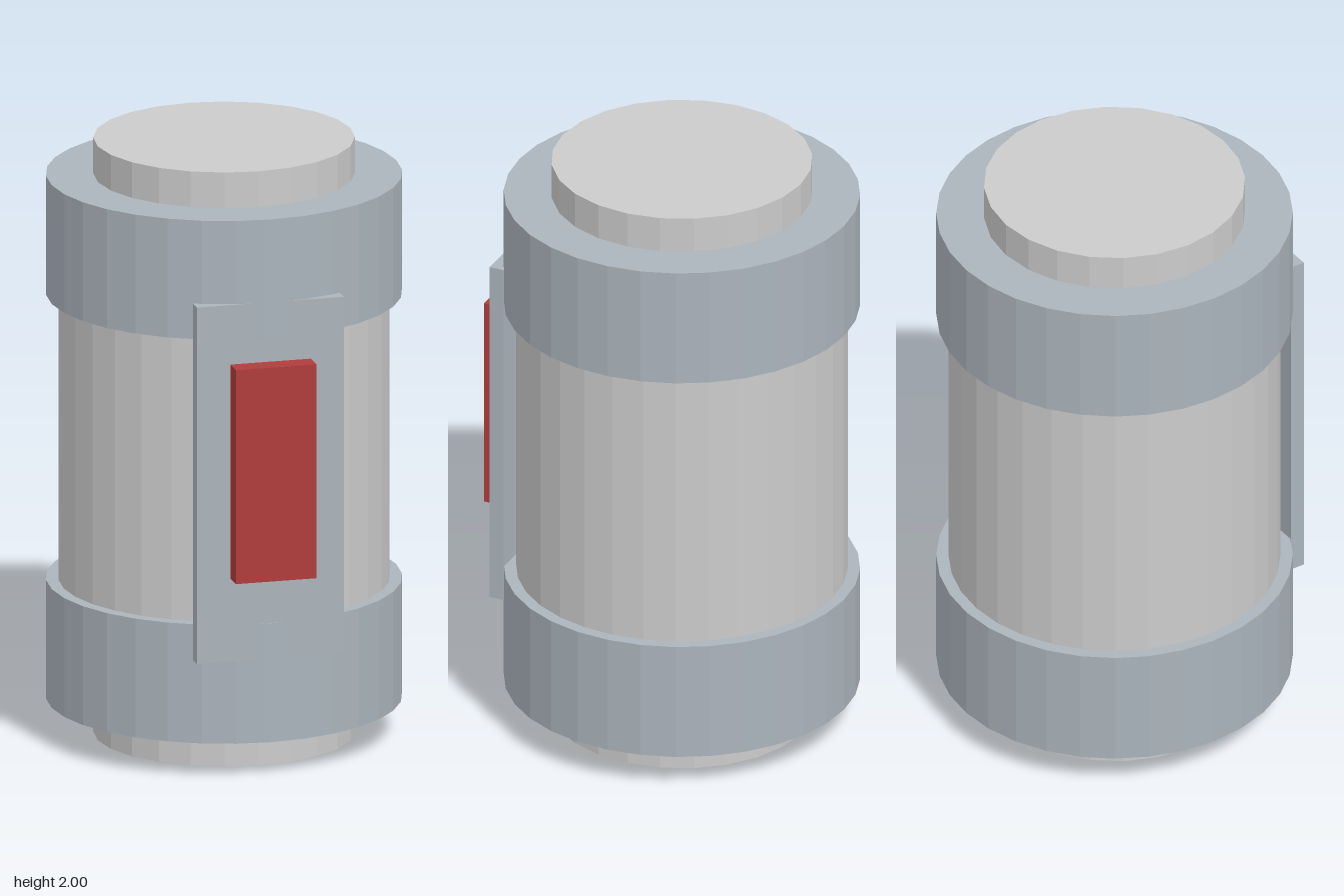
import * as THREE from 'three';

const AXIS_Z = -0.033; // the barrel sits slightly back, balancing the front panel

export function createModel() {
  const model = new THREE.Group();
  const material = (color) => new THREE.MeshStandardMaterial({ color, flatShading: true });
  const grey = material(0xcccccc);
  const steel = material(0xabb4bc);
  const red = material(0xb03c3c);

  const add = (name, geometry, mat, y, z) => {
    const mesh = new THREE.Mesh(geometry, mat);
    mesh.name = name;
    mesh.position.set(0, y, z);
    model.add(mesh);
  };
  // Faceted upright cylinder between two heights
  const drum = (name, radius, y0, y1, sides, mat) =>
    add(name, new THREE.CylinderGeometry(radius, radius, y1 - y0, sides), mat, (y0 + y1) / 2, AXIS_Z);
  // Box on the front between two heights and two depths
  const slab = (name, width, y0, y1, z0, z1, mat) =>
    add(name, new THREE.BoxGeometry(width, y1 - y0, z1 - z0), mat, (y0 + y1) / 2, (z0 + z1) / 2);

  // Barrel with a thick band and a narrower end cap at each end
  drum('barrel', 0.538, 0.3, 1.7, 32, grey);
  drum('lowerBand', 0.578, 0.12, 0.52, 32, steel);
  drum('upperBand', 0.578, 1.48, 1.88, 32, steel);
  drum('lowerCap', 0.424, 0, 0.2, 24, grey);
  drum('upperCap', 0.424, 1.8, 2, 24, grey);

  // Front plate and its raised panel
  slab('frontPlate', 0.494, 0.4, 1.6, 0.49, 0.54, steel);
  slab('frontPanel', 0.27, 0.68, 1.4, 0.53, 0.611, red);

  return model;
}
